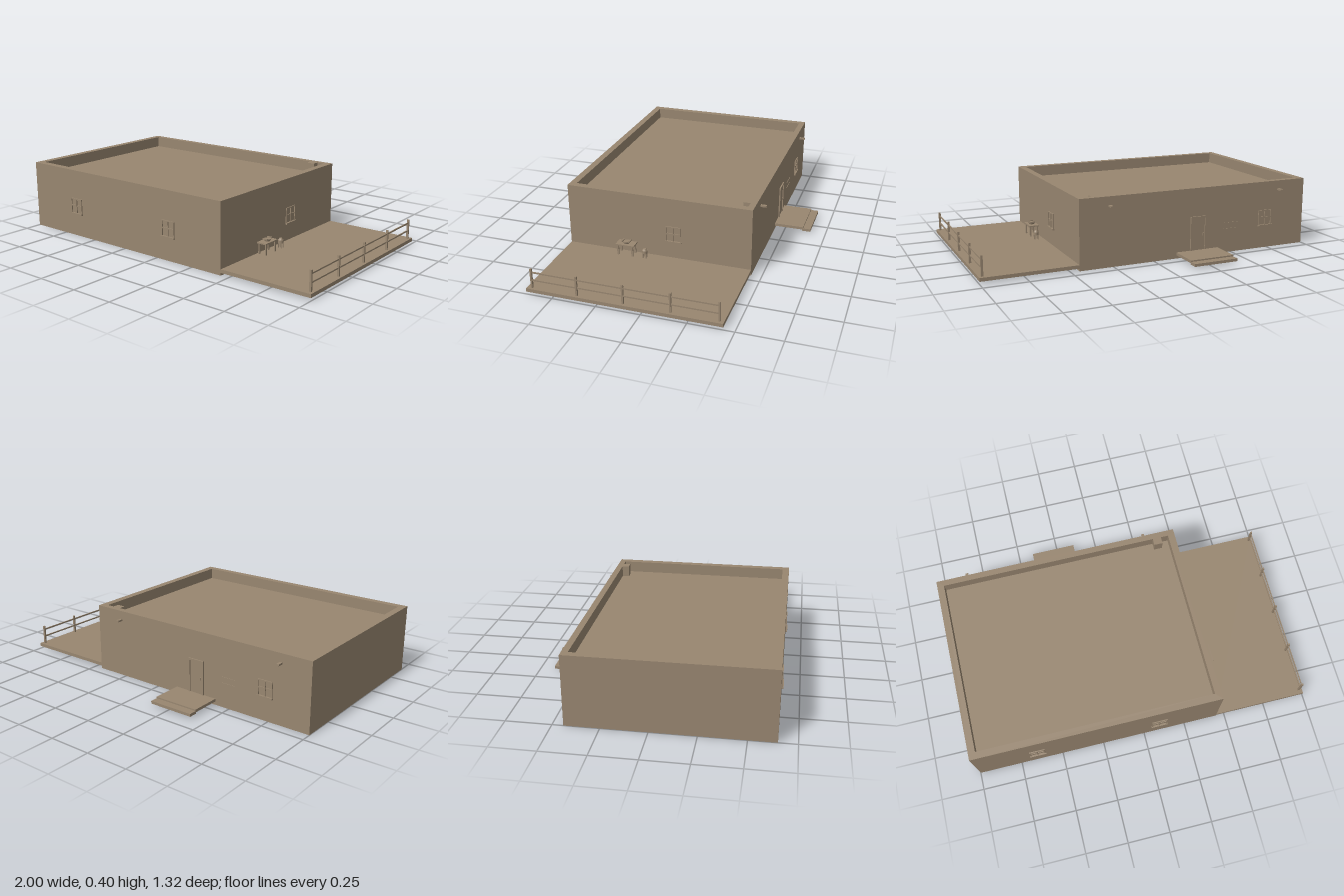
import * as THREE from 'three';

export function createModel() {
  const model = new THREE.Group();
  model.name = 'house';
  const adobe = new THREE.MeshStandardMaterial({ color: 0x988670 });
  adobe.name = 'adobe brown';

  const add = (name, geometry, parent = model) => {
    const mesh = new THREE.Mesh(geometry, adobe);
    mesh.name = name;
    parent.add(mesh);
    return mesh;
  };
  // Box given by its limits on each axis
  const box = (name, x0, x1, y0, y1, z0, z1, parent) => {
    const m = add(name, new THREE.BoxGeometry(x1 - x0, y1 - y0, z1 - z0), parent);
    m.position.set((x0 + x1) / 2, (y0 + y1) / 2, (z0 + z1) / 2);
    return m;
  };
  const group = (name, x, y, z, turn = 0) => {
    const g = new THREE.Group();
    g.name = name;
    g.position.set(x, y, z);
    g.rotation.y = turn;
    model.add(g);
    return g;
  };

  // House body up to the sunken roof
  const roofY = 0.335;
  box('houseBody', -1, 0.45, 0, roofY, -0.44, 0.65);

  // Parapet ring with a chimney block in its back wall (shape y is -z)
  const ring = new THREE.Shape([[-1, -0.65], [0.45, -0.65], [0.45, 0.44], [-1, 0.44]]
    .map(p => new THREE.Vector2(...p)));
  ring.holes.push(new THREE.Path([
    [-0.96, -0.61], [-0.96, 0.405], [0.315, 0.405], [0.315, 0.365],
    [0.365, 0.365], [0.365, 0.405], [0.41, 0.405], [0.41, -0.61],
  ].map(p => new THREE.Vector2(...p))));
  const parapet = add('parapet', new THREE.ExtrudeGeometry(ring, { depth: 0.4 - roofY, bevelEnabled: false }));
  parapet.rotation.x = -Math.PI / 2;
  parapet.position.y = roofY;

  // Roof drain spouts
  for (const x of [-0.82, 0.27]) box('roofSpout', x - 0.008, x + 0.008, 0.342, 0.352, -0.475, -0.44);

  // Windows: frame, crossbars and sill, facing local +z
  const addWindow = (x, z, turn) => {
    const g = group('window', x, 0.135, z, turn);
    for (const s of [-0.042, 0, 0.042]) box('windowUpright', s - 0.003, s + 0.003, 0, 0.095, 0, 0.006, g);
    box('windowHead', -0.045, 0.045, 0.089, 0.095, 0, 0.006, g);
    box('windowCrossbar', -0.042, 0.042, 0.046, 0.054, 0, 0.005, g);
    box('windowSill', -0.048, 0.048, -0.002, 0.006, 0, 0.011, g);
  };
  addWindow(-0.64, 0.65, 0);
  addWindow(0.088, 0.65, 0);
  addWindow(0.45, 0.012, Math.PI / 2);
  addWindow(-0.73, -0.44, Math.PI);

  // Shallow wall trim beside the door
  for (const y of [0.14, 0.175]) box('wallTrim', -0.54, -0.45, y, y + 0.004, -0.443, -0.44);

  // Back door
  const door = group('door', -0.28, 0.035, -0.44, Math.PI);
  for (const s of [-1, 1]) box('doorPost', s * 0.046 - 0.005, s * 0.046 + 0.005, 0, 0.2, 0, 0.008, door);
  box('doorLintel', -0.051, 0.051, 0.19, 0.2, 0, 0.008, door);
  box('doorPanel', -0.041, 0.041, 0, 0.19, 0, 0.002, door);
  box('doorHandle', 0.028, 0.034, 0.085, 0.1, 0, 0.007, door);

  // Back steps
  box('upperStep', -0.41, -0.14, 0.02, 0.036, -0.615, -0.44);
  box('lowerStep', -0.41, -0.14, 0.012, 0.028, -0.66, -0.61);

  // Side deck with railing
  box('deck', 0.45, 1, 0.015, 0.035, -0.44, 0.65);
  for (let i = 0; i < 5; i++) {
    const z = 0.622 - i * 0.2595;
    box('railingPost', 0.974, 0.986, 0.035, 0.148, z - 0.005, z + 0.005);
  }
  for (const y of [0.077, 0.123]) box('railingBar', 0.977, 0.983, y, y + 0.008, -0.416, 0.622);

  // Table on the deck
  const table = group('table', 0.485, 0.035, 0.285);
  box('tableTop', -0.03, 0.03, 0.061, 0.068, -0.055, 0.055, table);
  for (const x of [-0.022, 0.022]) for (const z of [-0.043, 0.043])
    box('tableLeg', x - 0.004, x + 0.004, 0, 0.061, z - 0.005, z + 0.005, table);
  const bowl = add('tableBowl', new THREE.CylinderGeometry(0.02, 0.016, 0.012, 12), table);
  bowl.position.y = 0.074;
  for (const z of [-0.021, 0.021]) box('bowlHandle', -0.014, 0.014, 0.078, 0.086, z - 0.004, z + 0.004, table);

  // Small round stool beside the table
  const stool = group('stool', 0.495, 0.035, 0.17);
  add('stoolSeat', new THREE.CylinderGeometry(0.016, 0.016, 0.018, 12), stool).position.y = 0.036;
  add('stoolKnob', new THREE.CylinderGeometry(0.008, 0.014, 0.01, 12), stool).position.y = 0.05;
  for (let i = 0; i < 4; i++) {
    const a = Math.PI / 4 + i * Math.PI / 2;
    add('stoolLeg', new THREE.CylinderGeometry(0.003, 0.003, 0.03, 6), stool)
      .position.set(0.013 * Math.cos(a), 0.015, 0.013 * Math.sin(a));
  }
  return model;
}
